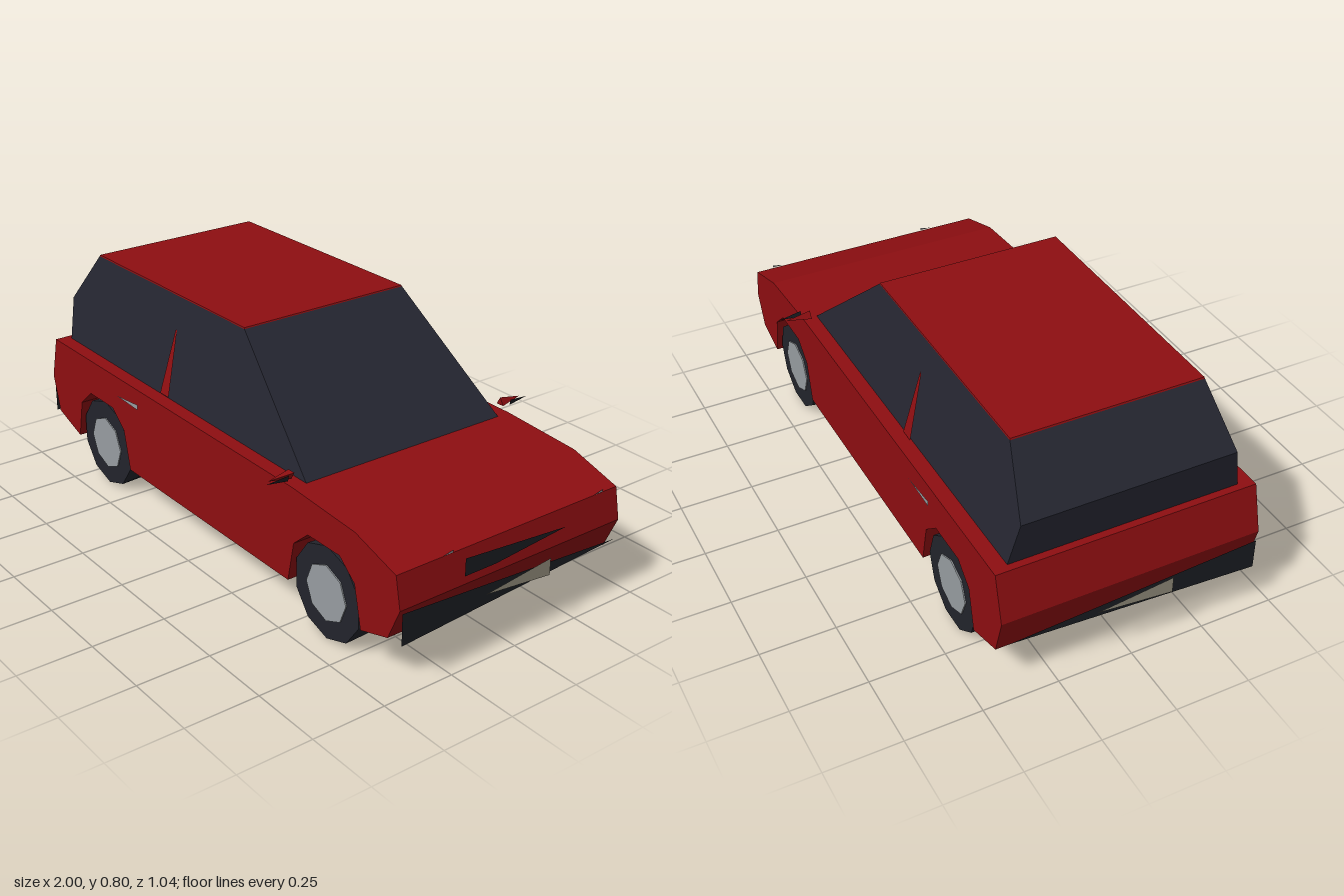
import * as THREE from 'three';

const mat = (name, color, extra = {}) =>
  Object.assign(new THREE.MeshStandardMaterial({ color, ...extra }), { name });

export function createModel() {
  const car = new THREE.Group();
  car.name = 'car';
  const flat = { flatShading: true, side: THREE.DoubleSide };
  const red = mat('red paint', 0x8e0e11, flat);
  const glass = mat('dark glass', 0x252631, flat);
  const rubber = mat('tyre rubber', 0x22242c, flat);
  const black = mat('black trim', 0x1b1e24, flat);
  const metal = mat('grey metal', 0x989da1, flat);
  const beige = mat('beige plate', 0x989280, flat);

  const add = (name, geometry, material, parent = car) => {
    const mesh = new THREE.Mesh(geometry, material);
    mesh.name = name;
    parent.add(mesh);
    return mesh;
  };

  // Side profile (x, y) extruded across the car; halfWidth may vary with height
  const sideExtrude = (points, halfWidth) => {
    const shape = new THREE.Shape(points.map(([x, y]) => new THREE.Vector2(x, y)));
    const geo = new THREE.ExtrudeGeometry(shape, { depth: 1, bevelEnabled: false });
    const p = geo.attributes.position;
    for (let i = 0; i < p.count; i++) {
      p.setZ(i, (p.getZ(i) > 0.5 ? 1 : -1) * halfWidth(p.getY(i)));
    }
    geo.computeVertexNormals();
    return geo;
  };

  // Single flat triangle
  const triangle = (a, b, c) => {
    const geo = new THREE.BufferGeometry();
    geo.setAttribute('position', new THREE.Float32BufferAttribute([...a, ...b, ...c], 3));
    geo.computeVertexNormals();
    return geo;
  };

  // Lower body with wheel arches cut right through
  const arch = (cx) => [
    [cx + 0.175, 0.125], [cx + 0.145, 0.265], [cx + 0.075, 0.325],
    [cx - 0.075, 0.325], [cx - 0.145, 0.265], [cx - 0.175, 0.125],
  ];
  add('body', sideExtrude([
    [-0.945, 0.455], [0.485, 0.45], [0.78, 0.432], [0.96, 0.378], [0.98, 0.273],
    [0.93, 0.162], ...arch(0.635), ...arch(-0.635), [-0.95, 0.172], [-0.985, 0.3],
  ], () => 0.435), red);

  // Cabin glass leaning inwards, with a painted roof
  const cabinWidth = (y) => 0.385 - (y - 0.455) * 0.206;
  add('cabinGlass', sideExtrude([
    [-0.92, 0.45], [-0.94, 0.6], [-0.8, 0.785], [0.08, 0.791], [0.49, 0.448],
  ], cabinWidth), glass);
  add('roof', sideExtrude([
    [-0.8, 0.785], [0.08, 0.791], [0.078, 0.795], [-0.798, 0.79],
  ], cabinWidth), red);

  // Wheels: ten-sided tyres with the two rims half a step apart
  const tyre = new THREE.CylinderGeometry(0.158, 0.158, 0.098, 10);
  const p = tyre.attributes.position;
  const v = new THREE.Vector3();
  const up = new THREE.Vector3(0, 1, 0);
  for (let i = 0; i < p.count; i++) {
    v.fromBufferAttribute(p, i);
    if (v.y < 0) v.applyAxisAngle(up, Math.PI / 10);
    p.setXYZ(i, v.x, v.y, v.z);
  }
  tyre.rotateX(Math.PI / 2);
  const hub = new THREE.CylinderGeometry(0.095, 0.095, 0.106, 8);
  hub.rotateX(Math.PI / 2);
  for (const x of [-0.637, 0.633]) {
    for (const s of [1, -1]) {
      const wheel = new THREE.Group();
      wheel.name = (x > 0 ? 'front' : 'rear') + 'Wheel';
      add('tyre', tyre, rubber, wheel);
      add('hub', hub, metal, wheel);
      wheel.position.set(x, 0.158, s * 0.371);
      car.add(wheel);
    }
  }

  // Parts on both flanks
  for (const s of [1, -1]) {
    add('doorPillar', triangle(
      [-0.302, 0.463, s * 0.396], [-0.252, 0.463, s * 0.396], [-0.27, 0.685, s * 0.341]), red);
    add('doorPillarEdge', triangle(
      [-0.302, 0.463, s * 0.396], [-0.278, 0.68, s * 0.342], [-0.27, 0.685, s * 0.341]), red);
    const tip = -0.45 - s * 0.07, end = -0.45 + s * 0.07;
    add('doorHandle', triangle(
      [tip, 0.387, s * 0.44], [end, 0.382, s * 0.44], [end, 0.401, s * 0.44]), metal);

    // Wing mirrors: pointed shell with a dark face ahead of it
    const shell = add('mirrorShell', new THREE.ConeGeometry(0.017, 0.085, 3), red);
    shell.rotation.x = s * Math.PI / 2;
    shell.position.set(0.46, 0.481, s * 0.462);
    add('mirrorFace', triangle(
      [0.478, 0.471, s * 0.445], [0.482, 0.491, s * 0.445], [0.475, 0.481, s * 0.522]), black);
  }

  // Bumpers and number plates at both ends
  for (const e of [1, -1]) {
    const x = e * 0.985;
    add('bumper', triangle([x, 0.265, 0.43], [x, 0.16, 0.43], [x, 0.213, -0.415]), black);
    const px = e * 0.998;
    add('plate', triangle(
      [px, 0.222, e * 0.13], [px, 0.195, e * -0.13], [px, 0.252, e * -0.13]), beige);
  }

  // Grille and small nose details
  add('grille', triangle([0.984, 0.36, 0.2], [0.984, 0.302, 0.2], [0.984, 0.328, -0.2]), black);
  add('grilleCorner', triangle([0.984, 0.302, 0.2], [0.984, 0.302, 0.08], [0.984, 0.328, -0.2]), black);
  for (const z of [0.247, -0.355]) {
    add('noseTrim', triangle(
      [0.962, 0.38, z + 0.02], [0.962, 0.38, z - 0.018], [0.962, 0.388, z - 0.018]), metal);
  }
  return car;
}
